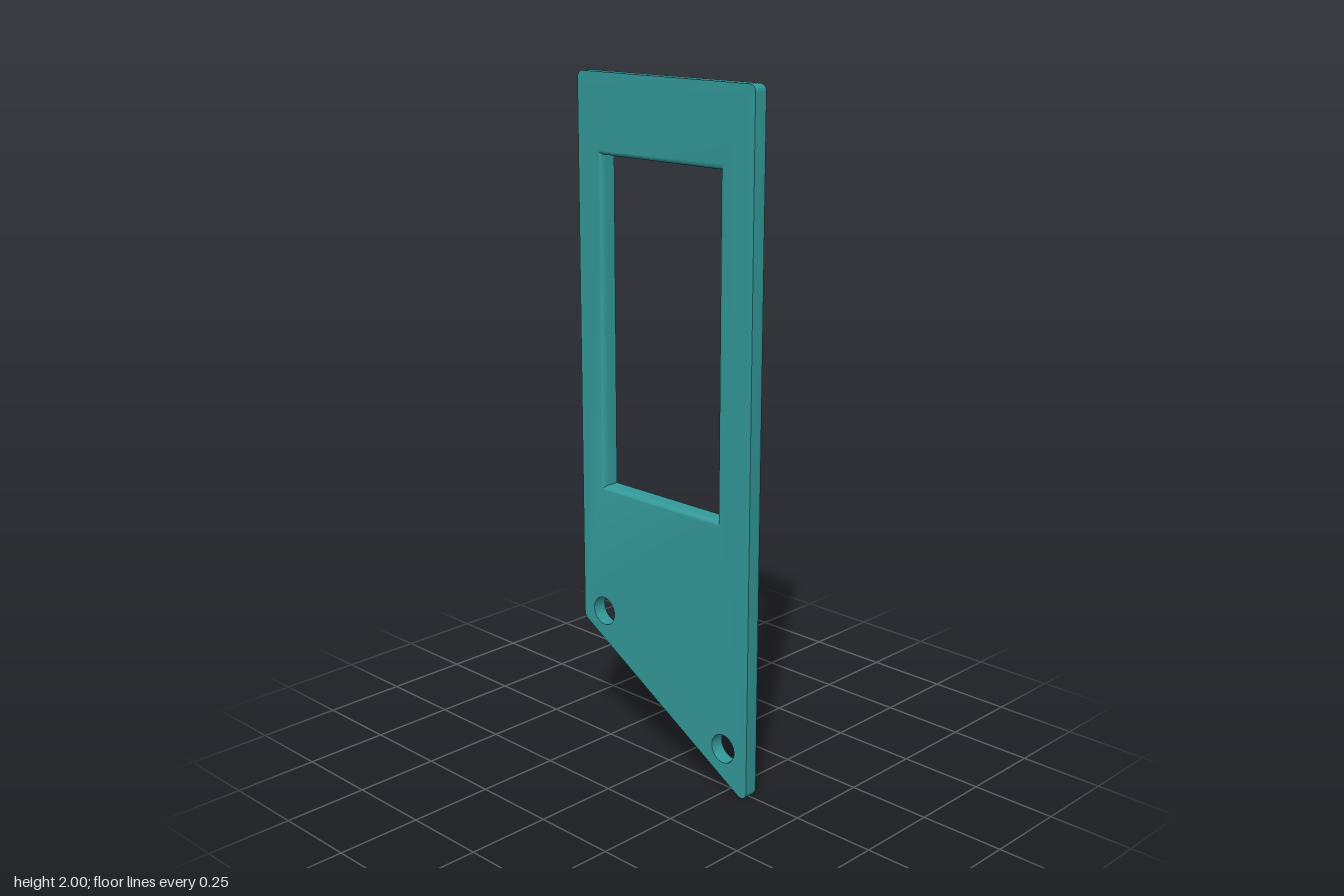
import * as THREE from 'three';
import { mergeGeometries, toCreasedNormals } from 'three/addons/utils/BufferGeometryUtils.js';

const Z = 0.026;      // half thickness
const FILLET = 0.016; // rounded edge radius
const STEPS = 6;

// Outer outline (counter-clockwise), corners rounded about fixed centres, shrunk by inset
function outline(inset) {
  const r = 0.02 - inset, deg = Math.PI / 180, pts = [];
  const corners = [ // centre x, y, start and end angle
    [0.31, 0.02, 240, 360],
    [0.31, 1.98, 0, 90],
    [-0.31, 1.98, 90, 180],
    [-0.31, 0.389, 180, 240],
  ];
  for (const [x, y, a0, a1] of corners) {
    for (let i = 0; i <= 8; i++) {
      const a = (a0 + (a1 - a0) * i / 8) * deg;
      pts.push(new THREE.Vector2(x + r * Math.cos(a), y + r * Math.sin(a)));
    }
  }
  return pts;
}

// Window opening (clockwise), enlarged by grow
function windowLoop(grow) {
  const x0 = -0.24 - grow, x1 = 0.208 + grow, y0 = 0.808 - grow, y1 = 1.773 + grow;
  return [[x0, y0], [x0, y1], [x1, y1], [x1, y0]].map(p => new THREE.Vector2(...p));
}

// Round screw hole (clockwise), enlarged by grow
function holeLoop(x, y, grow) {
  const r = 0.043 + grow, n = 40;
  return Array.from({ length: n }, (_, i) => {
    const a = -i / n * Math.PI * 2;
    return new THREE.Vector2(x + r * Math.cos(a), y + r * Math.sin(a));
  });
}

// Wall through the loops from back to front, with a fillet at the edge on the given side
function wall(loop, side) {
  const rows = [];
  for (let i = 0; i <= STEPS; i++) {
    const a = i / STEPS * Math.PI / 2;
    rows.push([FILLET * (1 - Math.sin(a)), side * (Z - FILLET * (1 - Math.cos(a)))]);
  }
  rows.push([0, -side * Z]);
  if (side > 0) rows.reverse();
  const pos = [], index = [], n = loop(0).length;
  for (const [d, z] of rows) for (const p of loop(d)) pos.push(p.x, p.y, z);
  for (let r = 0; r < rows.length - 1; r++) {
    for (let i = 0; i < n; i++) {
      const j = (i + 1) % n, a = r * n + i, b = r * n + j;
      index.push(a, b, b + n, a, b + n, a + n);
    }
  }
  const g = new THREE.BufferGeometry();
  g.setAttribute('position', new THREE.Float32BufferAttribute(pos, 3));
  g.setIndex(index);
  return g.toNonIndexed();
}

// Flat face with its openings, facing front (side 1) or back (side -1)
function face(outer, holes, side) {
  const shape = new THREE.Shape(outer);
  shape.holes = holes.map(h => new THREE.Path(h));
  const g = new THREE.ShapeGeometry(shape);
  g.deleteAttribute('normal');
  g.deleteAttribute('uv');
  if (side < 0) g.setIndex(Array.from(g.index.array).reverse());
  g.translate(0, 0, side * Z);
  return g.toNonIndexed();
}

export function createModel() {
  const group = new THREE.Group();
  group.name = 'coverPlate';
  const screwHoles = [[-0.245, 0.415], [0.24, 0.13]].map(([x, y]) => d => holeLoop(x, y, d));

  const parts = [
    // outer rim and screw holes are rounded at the back, the window at the front
    wall(outline, -1),
    wall(windowLoop, 1),
    ...screwHoles.map(h => wall(h, -1)),
    face(outline(0), [windowLoop(FILLET), ...screwHoles.map(h => h(0))], 1),
    face(outline(FILLET), [windowLoop(0), ...screwHoles.map(h => h(FILLET))], -1),
  ];
  const geometry = toCreasedNormals(mergeGeometries(parts), 0.6);
  const plate = new THREE.Mesh(geometry, new THREE.MeshStandardMaterial({ color: 0x339999 }));
  plate.name = 'plate';
  group.add(plate);
  return group;
}
